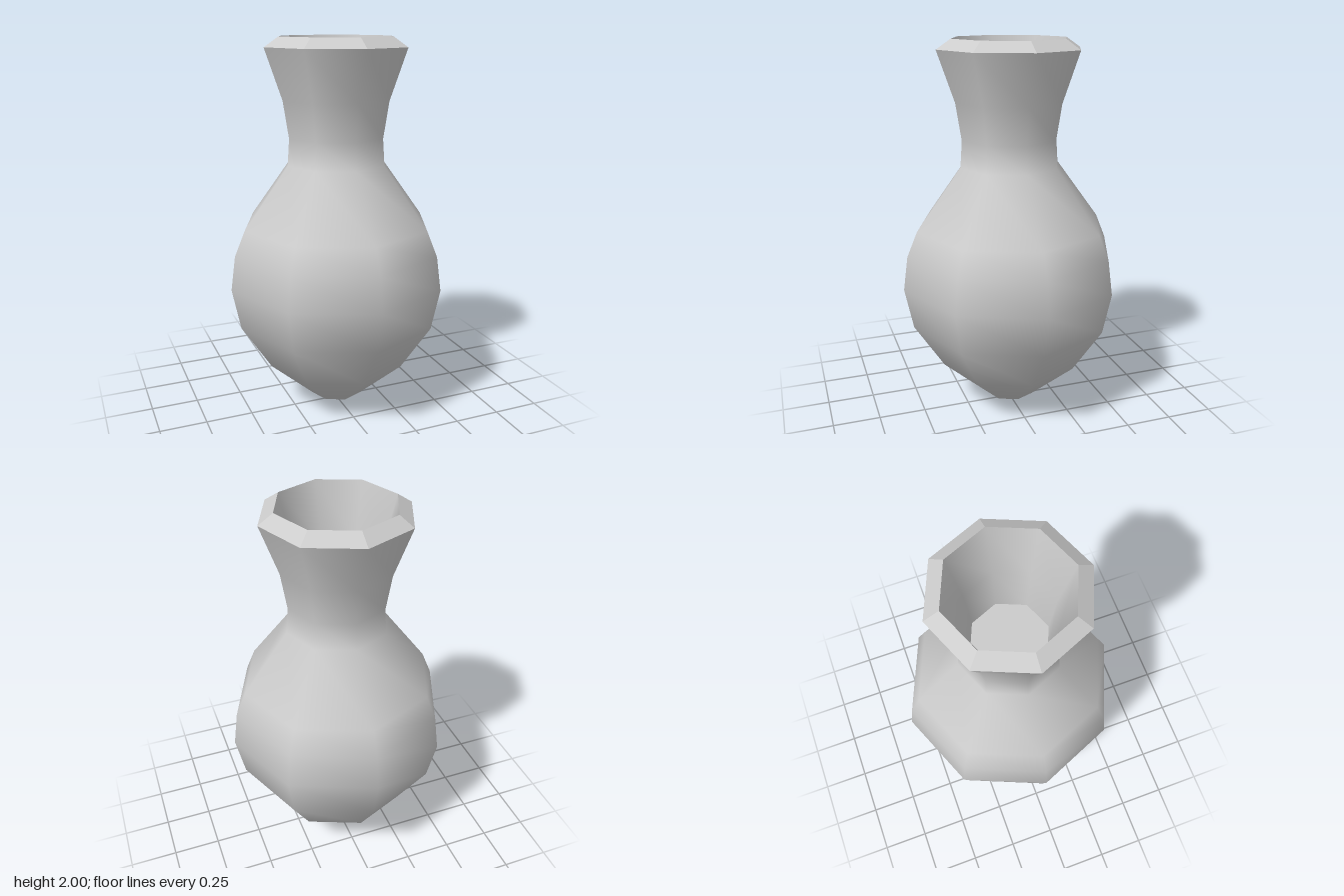
import * as THREE from 'three';

const SIDES = 8;

// Eight-sided turned part; the profile runs up the outside and down the inside
function turned(name, profile, flatShading = false) {
  const points = profile.map(([r, y]) => new THREE.Vector2(r, y));
  const material = new THREE.MeshStandardMaterial({ color: 0xcccccc, flatShading });
  const mesh = new THREE.Mesh(new THREE.LatheGeometry(points, SIDES), material);
  mesh.name = name;
  return mesh;
}

export function createModel() {
  const vase = new THREE.Group();
  vase.name = 'vase';

  // Pointed base, round belly and flared neck
  vase.add(turned('body', [
    [0, 0], [0.14, 0.05], [0.38, 0.26], [0.54, 0.51], [0.585, 0.73],
    [0.56, 0.91], [0.505, 1.04], [0.267, 1.36], [0.257, 1.5],
    [0.287, 1.69], [0.378, 1.95],
  ]));

  // Bevelled lip
  vase.add(turned('rim', [[0.378, 1.95], [0.303, 2]], true));

  // Inside of the neck, narrowing to a flat floor
  vase.add(turned('neckInside', [[0.303, 2], [0.23, 1.72], [0.2, 1.45]]));
  vase.add(turned('neckFloor', [[0.2, 1.45], [0, 1.45]], true));

  return vase;
}
